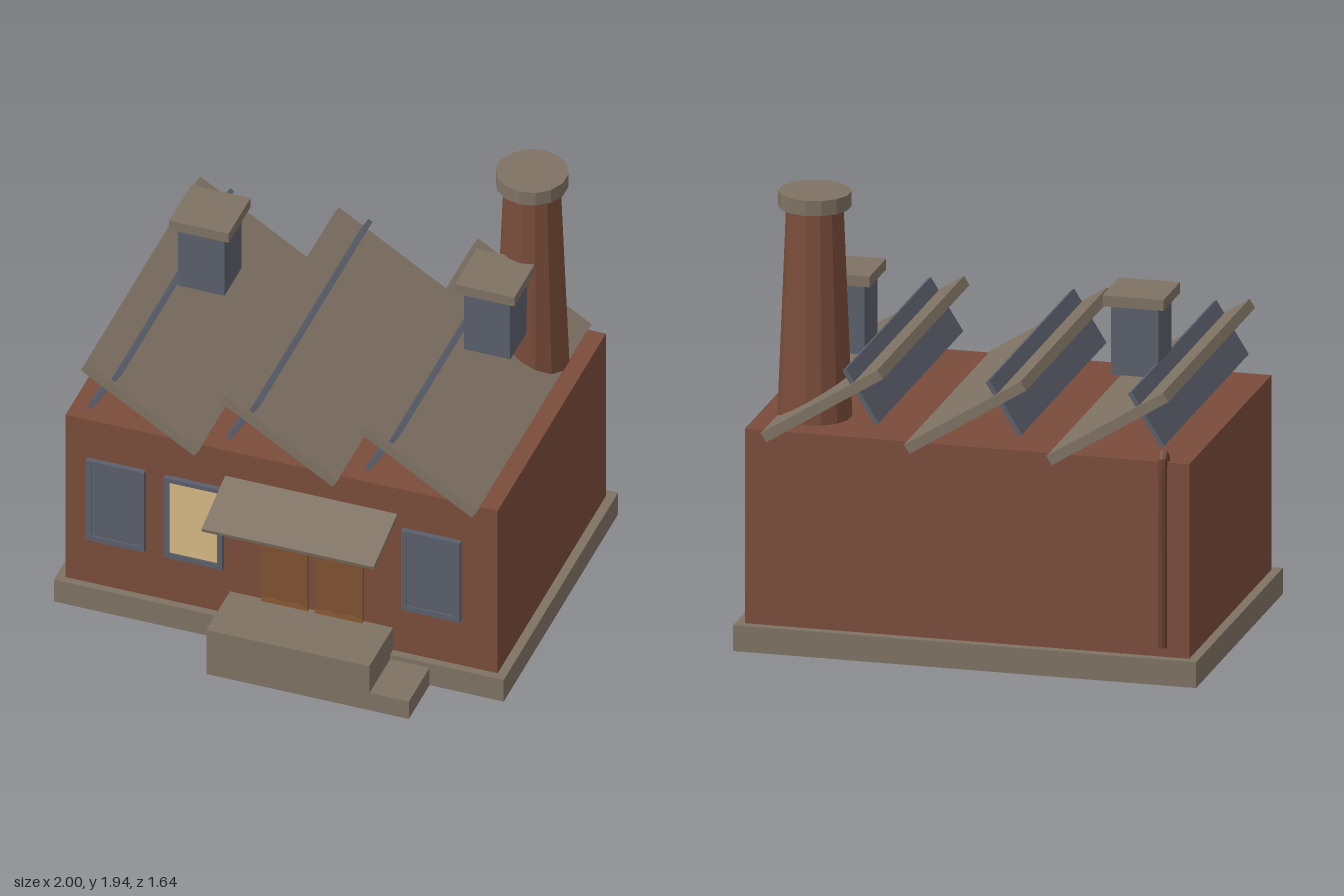
import * as THREE from 'three';

export function createModel() {
  const model = new THREE.Group();
  model.name = 'factory';

  const mat = (name, color) => {
    const m = new THREE.MeshStandardMaterial({ color, flatShading: true });
    m.name = name;
    return m;
  };
  const brick = mat('brick', 0x7a4c3a);
  const stone = mat('stone', 0x7f7263);
  const metal = mat('blue grey metal', 0x5a5f6b);
  const glow = mat('lit glass', 0xd6b985);
  const wood = mat('wood', 0x8a5a34);
  const wornWood = mat('worn wood', 0x7f5230);
  const rust = mat('rusty pipe', 0x6a3f2e);

  const add = (name, geometry, material, x = 0, y = 0, z = 0, parent = model) => {
    const mesh = new THREE.Mesh(geometry, material);
    mesh.name = name;
    mesh.position.set(x, y, z);
    parent.add(mesh);
    return mesh;
  };
  // Box given by its lower and upper limits on each axis
  const block = (name, material, x0, x1, y0, y1, z0, z1, parent = model) =>
    add(name, new THREE.BoxGeometry(x1 - x0, y1 - y0, z1 - z0), material,
      (x0 + x1) / 2, (y0 + y1) / 2, (z0 + z1) / 2, parent);

  // Plinth, brick hall, entrance landing and side step
  block('plinth', stone, -1, 1, 0, 0.113, -0.815, 0.565);
  block('hall', brick, -0.96, 0.96, 0.113, 0.962, -0.775, 0.53);
  block('landing', stone, -0.23, 0.495, 0, 0.23, 0.53, 0.815);
  block('sideStep', stone, 0.495, 0.67, 0, 0.09, 0.56, 0.815);

  // Sloping entrance canopy
  const canopy = add('canopy', new THREE.BoxGeometry(0.765, 0.018, 0.295), stone, 0.1325, 0.785, 0.673);
  canopy.rotation.x = 0.26;

  // Double door with a worn middle field on each leaf
  for (const [x0, x1] of [[-0.085, 0.122], [0.155, 0.365]]) {
    block('doorLeaf', wood, x0, x1, 0.23, 0.655, 0.525, 0.548);
    const w = x1 - x0;
    const worn = new THREE.Shape();
    worn.moveTo(0, 0.25);
    [[0.3, 0.262], [0.5, 0.25], [0.75, 0.265], [1, 0.25], [1, 0.54],
      [0.7, 0.53], [0.45, 0.545], [0.2, 0.53], [0, 0.545]]
      .forEach(([u, y]) => worn.lineTo(u * w, y));
    add('wornDoorField', new THREE.ShapeGeometry(worn), wornWood, x0, 0, 0.55);
  }

  // Framed windows, the middle one lit
  for (const [x, pane] of [[-0.733, metal], [-0.386, glow], [0.67, metal]]) {
    const window = new THREE.Group();
    window.name = 'window';
    model.add(window);
    const frame = new THREE.Shape();
    frame.moveTo(-0.13, 0.35).lineTo(0.13, 0.35).lineTo(0.13, 0.765).lineTo(-0.13, 0.765);
    const hole = new THREE.Path();
    hole.moveTo(-0.107, 0.375).lineTo(-0.107, 0.745).lineTo(0.107, 0.745).lineTo(0.107, 0.375);
    frame.holes.push(hole);
    add('windowFrame', new THREE.ExtrudeGeometry(frame, { depth: 0.025, bevelEnabled: false }),
      metal, x, 0, 0.528, window);
    block('windowPane', pane, x - 0.107, x + 0.107, 0.375, 0.745, 0.536, 0.545, window);
  }

  // Sawtooth roof: sloping slabs, each crossed by a narrow metal panel
  for (const x of [-0.617, -0.002, 0.617]) {
    const slab = add('roofSlab', new THREE.BoxGeometry(0.595, 0.045, 1.38), stone, x, 1.1, -0.127);
    slab.rotation.z = -0.56;
    const panel = add('roofPanel', new THREE.BoxGeometry(0.265, 0.02, 1.345), metal, x - 0.163, 1.148, -0.127);
    panel.rotation.z = 1.014;
  }

  // Roof vents with flat caps
  for (const x of [-0.617, 0.653]) {
    block('ventShaft', metal, x - 0.103, x + 0.103, 1.2, 1.505, -0.38, -0.175);
    block('ventCap', stone, x - 0.132, x + 0.132, 1.505, 1.552, -0.41, -0.146);
  }

  // Tapered chimney with a wider crown
  add('chimney', new THREE.CylinderGeometry(0.12, 0.157, 0.93, 14), brick, 0.73, 1.415, -0.51);
  add('chimneyCrown', new THREE.CylinderGeometry(0.153, 0.153, 0.066, 14), stone, 0.73, 1.908, -0.51);

  // Downpipe on the rear wall, bending over the parapet
  const path = new THREE.CatmullRomCurve3([
    [0.16, -0.795], [0.55, -0.795], [0.94, -0.795], [0.99, -0.785], [0.998, -0.76], [0.95, -0.745],
  ].map(([y, z]) => new THREE.Vector3(-0.85, y, z)));
  add('downpipe', new THREE.TubeGeometry(path, 30, 0.02, 8), rust);
  const foot = add('downpipeEnd', new THREE.CircleGeometry(0.02, 8), rust, -0.85, 0.16, -0.795);
  foot.rotation.x = Math.PI / 2;

  return model;
}
